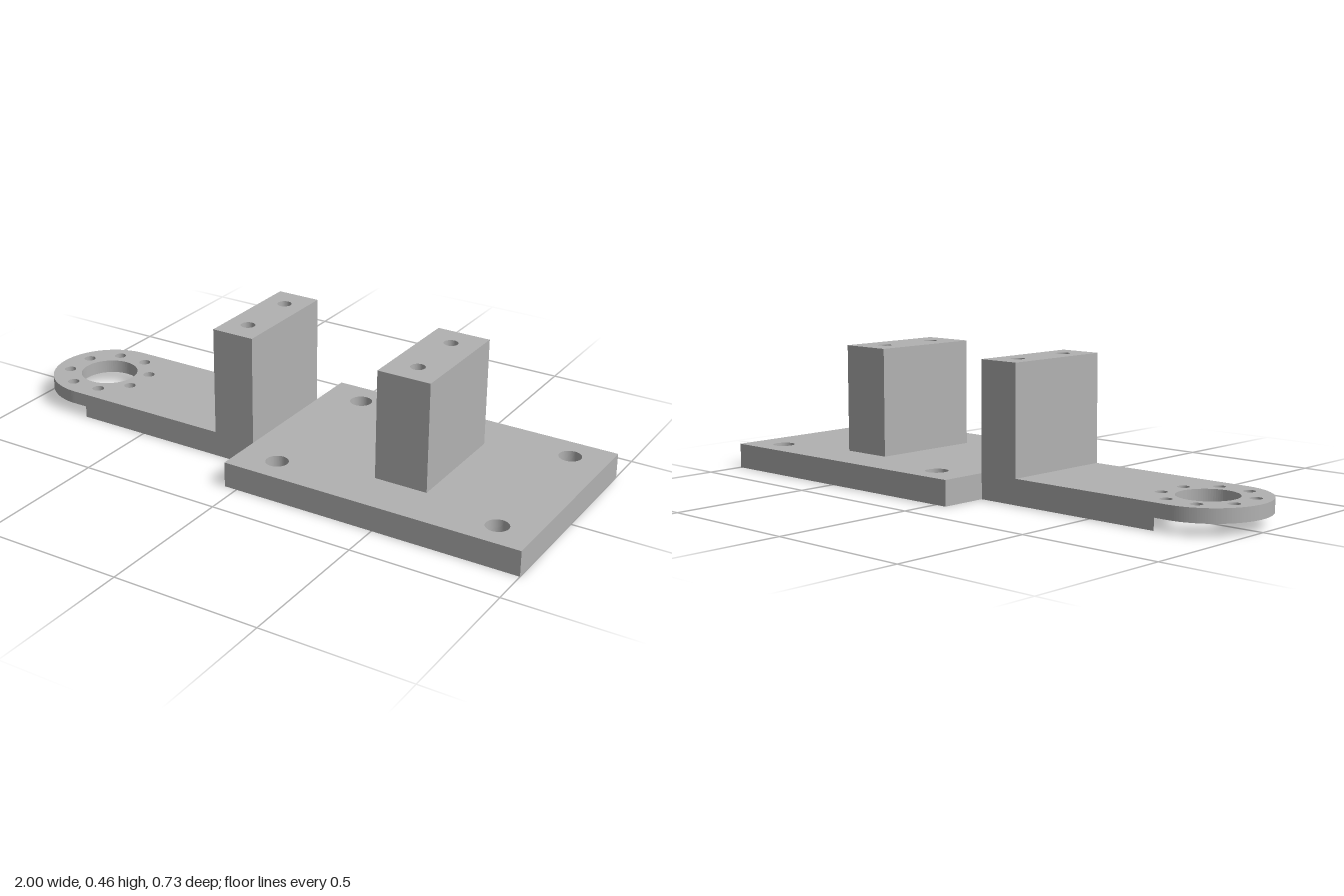
import * as THREE from 'three';

const HUB_X = -0.8;

// [x, z, radius] holes mirrored across z
const pair = (x, z, r) => [[x, z, r], [x, -z, r]];

function rect(x0, x1, halfZ) {
  const s = new THREE.Shape();
  s.moveTo(x0, -halfZ);
  s.lineTo(x1, -halfZ);
  s.lineTo(x1, halfZ);
  s.lineTo(x0, halfZ);
  s.closePath();
  return s;
}

// Horizontal slab from y0 to y1 with vertical holes
function slab(shape, holes, y0, y1) {
  for (const [x, z, r] of holes) {
    const p = new THREE.Path();
    p.absarc(x, z, r, 0, Math.PI * 2, true);
    shape.holes.push(p);
  }
  const g = new THREE.ExtrudeGeometry(shape, { depth: y1 - y0, bevelEnabled: false, curveSegments: 40 });
  g.rotateX(-Math.PI / 2);
  g.translate(0, y0, 0);
  return g;
}

export function createModel() {
  const group = new THREE.Group();
  const grey = new THREE.MeshStandardMaterial({ color: 0xb2b2b2 });
  grey.name = 'grey metal';
  const add = (name, geometry) => {
    const m = new THREE.Mesh(geometry, grey);
    m.name = name;
    group.add(m);
  };

  const top = 0.086, blockTop = 0.457, joint = -0.045;
  const armBlockX = -0.12, plateBlockX = 0.508;

  // Base plate: corner holes counterbored from above, block bolts from below
  const corners = (r) => [...pair(0.093, 0.268, r), ...pair(0.875, 0.268, r)];
  const plateBores = pair(plateBlockX, 0.11, 0.04);
  add('basePlateLower', slab(rect(joint, 1, 0.366), [...corners(0.022), ...plateBores], 0, 0.043));
  add('basePlateUpper', slab(rect(joint, 1, 0.366), [...corners(0.038), ...plateBores], 0.043, top));

  // Arm underside: ends in a round recess below the hub
  const armBores = [...pair(armBlockX, 0.11, 0.04), [armBlockX, 0, 0.022]];
  const a = Math.atan2(0.2, 0.05);
  const lower = new THREE.Shape();
  lower.moveTo(joint, -0.2);
  lower.lineTo(joint, 0.2);
  lower.absarc(HUB_X, 0, Math.hypot(0.2, 0.05), a, -a, true);
  lower.closePath();
  add('armLower', slab(lower, armBores, 0, 0.04));

  // Arm top: rounded end with centre bore and ring of eight bolt holes
  const upper = new THREE.Shape();
  upper.moveTo(joint, -0.2);
  upper.lineTo(joint, 0.2);
  upper.lineTo(HUB_X, 0.2);
  upper.absarc(HUB_X, 0, 0.2, Math.PI / 2, Math.PI * 1.5, false);
  upper.closePath();
  const hubHoles = [[HUB_X, 0, 0.1]];
  for (let i = 0; i < 8; i++) {
    const t = (i + 0.5) * Math.PI / 4;
    hubHoles.push([HUB_X + 0.146 * Math.cos(t), 0.146 * Math.sin(t), 0.02]);
  }
  add('armUpper', slab(upper, [...armBores, ...hubHoles], 0.04, top));

  // Upright blocks with bolt holes
  add('armBlock', slab(rect(-0.195, joint, 0.2), pair(armBlockX, 0.11, 0.024), top, blockTop));
  add('plateBlock', slab(rect(0.416, 0.6, 0.2), pair(plateBlockX, 0.11, 0.024), top, blockTop));

  return group;
}
